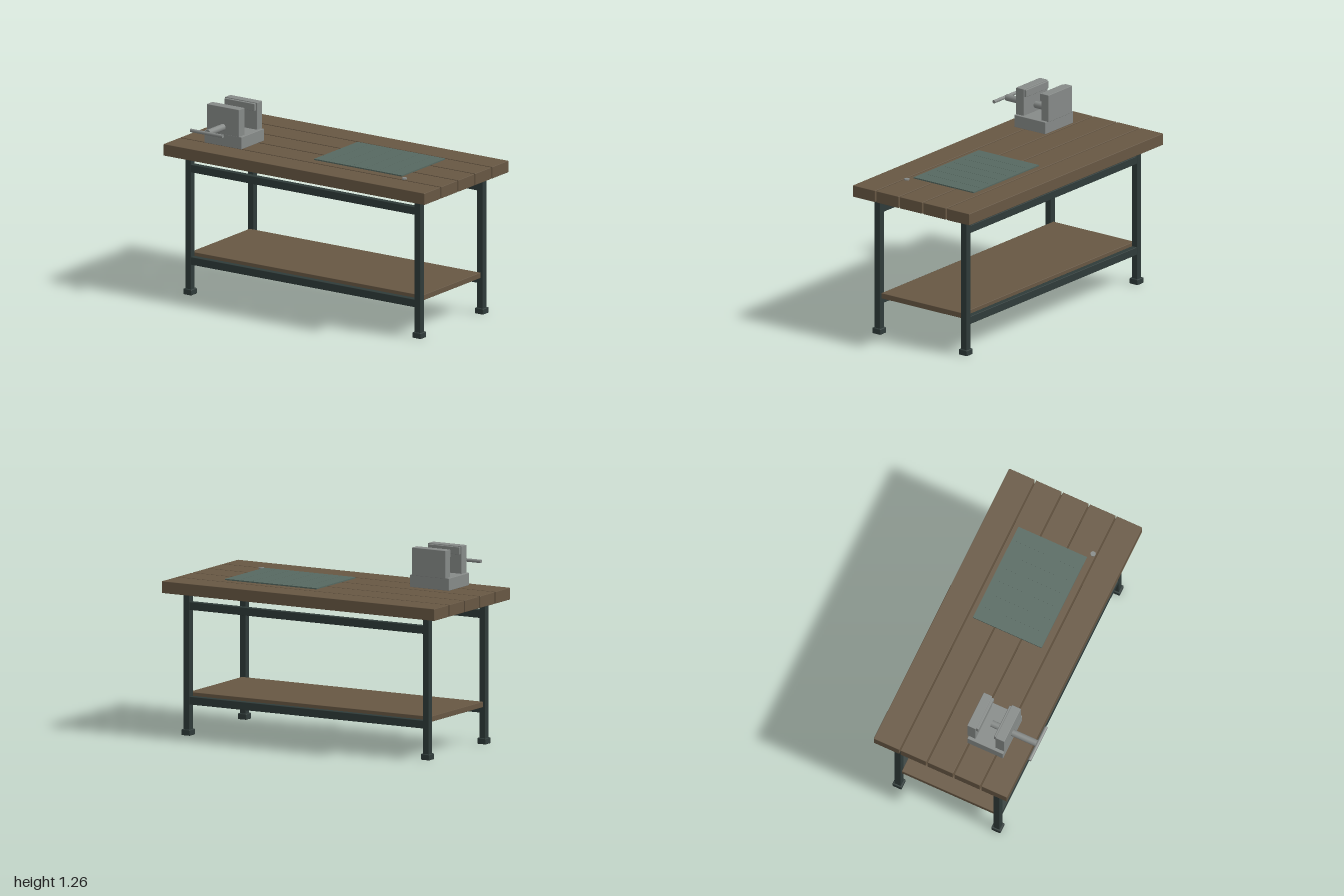
import * as THREE from 'three';
import { RoundedBoxGeometry } from 'three/addons/geometries/RoundedBoxGeometry.js';

const mat = (name, color) => Object.assign(new THREE.MeshStandardMaterial({ color }), { name });

export function createModel() {
  const group = new THREE.Group();
  group.name = 'workbench';
  const wood = mat('brown wood', 0x675743);
  const steel = mat('dark steel', 0x2f3b39);
  const iron = mat('grey iron', 0x868a88);
  const green = mat('green mat', 0x566860);

  const add = (name, geometry, material, x, y, z, parent = group) => {
    const mesh = new THREE.Mesh(geometry, material);
    mesh.name = name;
    mesh.position.set(x, y, z);
    parent.add(mesh);
    return mesh;
  };
  // Box given by its limits on each axis, with a slim chamfer
  const box = (name, material, [x0, x1], [y0, y1], [z0, z1], chamfer = 0.003, parent = group) => {
    const [w, h, d] = [x1 - x0, y1 - y0, z1 - z0];
    const geometry = chamfer ? new RoundedBoxGeometry(w, h, d, 1, chamfer) : new THREE.BoxGeometry(w, h, d);
    return add(name, geometry, material, (x0 + x1) / 2, (y0 + y1) / 2, (z0 + z1) / 2, parent);
  };

  // Table top of five planks
  for (let i = 0; i < 5; i++) {
    const z = 0.347 - i * 0.187;
    box('topPlank', wood, [-1, 1], [0.912, 0.988], [z - 0.0885, z + 0.0885]);
  }

  // Legs, feet and the long rails at front and back
  for (const z of [0.317, -0.37]) {
    for (const x of [-0.879, 0.879]) {
      box('leg', steel, [x - 0.022, x + 0.022], [0.02, 0.908], [z - 0.022, z + 0.022]);
      box('foot', steel, [x - 0.032, x + 0.032], [0, 0.038], [z - 0.032, z + 0.032], 0.005);
    }
    box('upperRail', steel, [-0.86, 0.86], [0.802, 0.853], [z - 0.019, z + 0.019]);
    box('lowerRail', steel, [-0.86, 0.86], [0.198, 0.249], [z - 0.019, z + 0.019]);
  }
  box('shelf', wood, [-0.886, 0.886], [0.235, 0.271], [-0.348, 0.296]);

  // Cutting mat with fine ruled lines
  box('cuttingMat', green, [-0.003, 0.668], [0.992, 1.0], [-0.27, 0.208], 0);
  for (let i = 1; i <= 6; i++) {
    const x = -0.003 + i * 0.0959;
    box('matLine', green, [x - 0.002, x + 0.002], [0.9995, 1.0008], [-0.24, 0.178], 0);
  }

  // Bolt heads in the top
  for (const x of [-0.706, 0.706]) {
    add('boltHead', new THREE.CylinderGeometry(0.017, 0.017, 0.01, 12), iron, x, 0.991, 0.232);
  }

  // Bench vise
  const vise = new THREE.Group();
  vise.name = 'vise';
  group.add(vise);
  const cx = -0.636;
  const across = (w) => [cx - w / 2, cx + w / 2];
  box('viseBase', iron, across(0.286), [1.003, 1.083], [0.057, 0.305], 0.003, vise);
  box('frontJaw', iron, across(0.246), [1.08, 1.259], [0.243, 0.305], 0.003, vise);
  box('rearJaw', iron, across(0.246), [1.08, 1.259], [0.047, 0.105], 0.003, vise);
  box('frontJawPlate', iron, across(0.23), [1.206, 1.254], [0.23, 0.245], 0.003, vise);
  box('rearJawPlate', iron, across(0.23), [1.206, 1.254], [0.103, 0.122], 0.003, vise);
  add('viseScrew', new THREE.CylinderGeometry(0.022, 0.022, 0.313, 20), iron, cx, 1.126, 0.3165, vise)
    .rotation.x = Math.PI / 2;
  add('viseHandle', new THREE.CylinderGeometry(0.011, 0.011, 0.246, 14), iron, cx, 1.127, 0.481, vise)
    .rotation.z = Math.PI / 2;

  return group;
}
